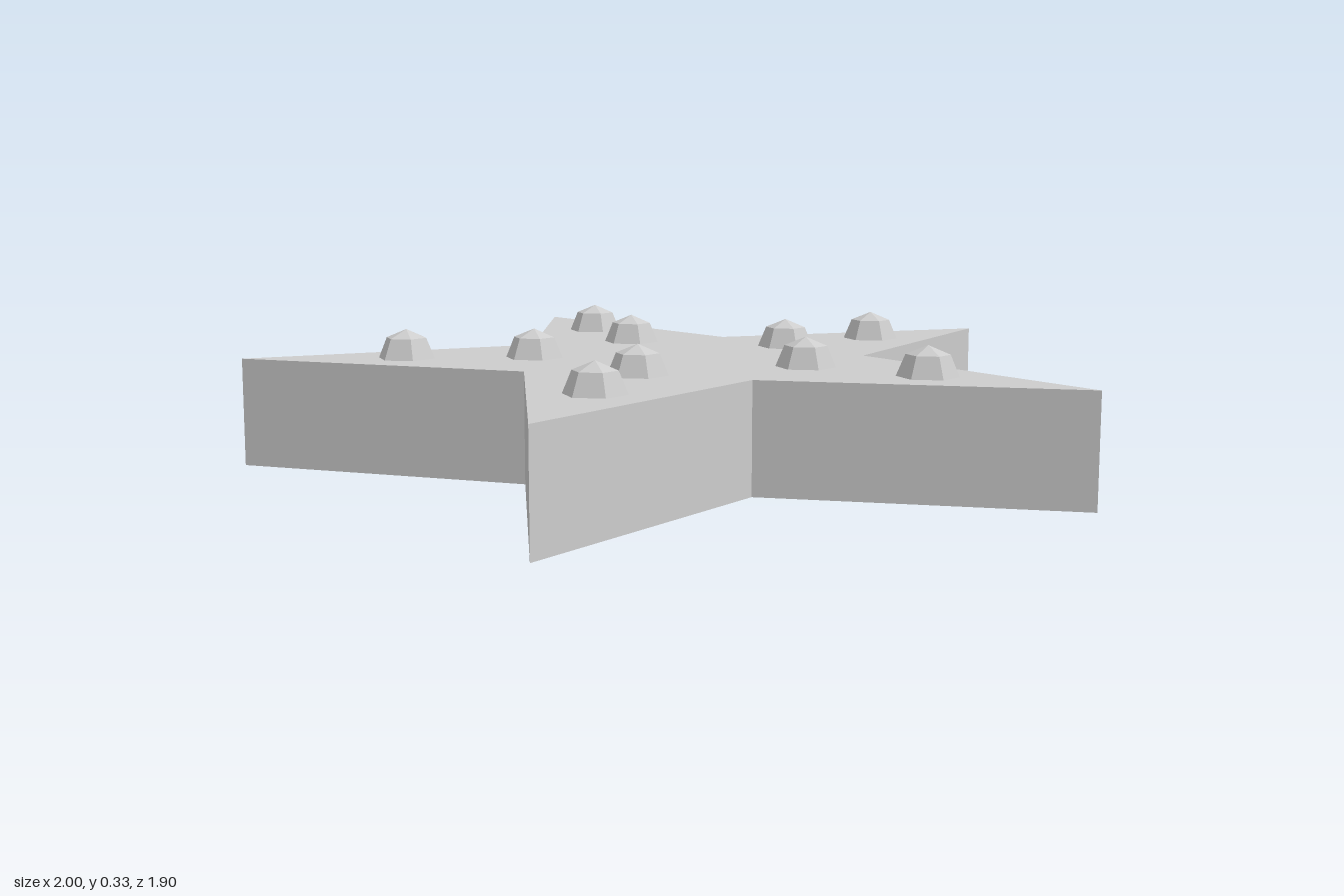
import * as THREE from 'three';

const TIP_RADIUS = 1 / Math.sin(Math.PI * 0.4);
const NOTCH_RADIUS = 0.45;
const HEIGHT = 0.26;
const STUD_RADIUS = 0.07;
const CENTRE_Z = 0.1; // the star's hub lies forward of the bounding-box centre

export function createModel() {
  const model = new THREE.Group();
  model.name = 'studdedStar';
  const grey = new THREE.MeshStandardMaterial({ color: 0xcccccc, flatShading: true });
  grey.name = 'light grey';

  // Five-pointed slab, one tip pointing to the back
  const outline = [];
  for (let i = 0; i < 10; i++) {
    const angle = Math.PI / 2 + (i * Math.PI) / 5;
    const radius = i % 2 ? NOTCH_RADIUS : TIP_RADIUS;
    outline.push(new THREE.Vector2(Math.cos(angle) * radius, Math.sin(angle) * radius));
  }
  const slab = new THREE.ExtrudeGeometry(new THREE.Shape(outline), { depth: HEIGHT, bevelEnabled: false });
  slab.rotateX(-Math.PI / 2);
  const star = new THREE.Mesh(slab, grey);
  star.name = 'starBody';
  star.position.z = CENTRE_Z;
  model.add(star);

  // Two faceted half-dome studs along each arm
  const dome = new THREE.SphereGeometry(STUD_RADIUS, 6, 2, 0, Math.PI * 2, 0, Math.PI / 2);
  dome.rotateY(Math.PI / 2);
  for (let arm = 0; arm < 5; arm++) {
    const angle = (arm * Math.PI * 2) / 5;
    for (const [label, distance] of [['inner', 0.35], ['outer', 0.657]]) {
      const stud = new THREE.Mesh(dome, grey);
      stud.name = `${label}Stud${arm + 1}`;
      stud.position.set(Math.sin(angle) * distance, HEIGHT, CENTRE_Z - Math.cos(angle) * distance);
      model.add(stud);
    }
  }
  return model;
}
